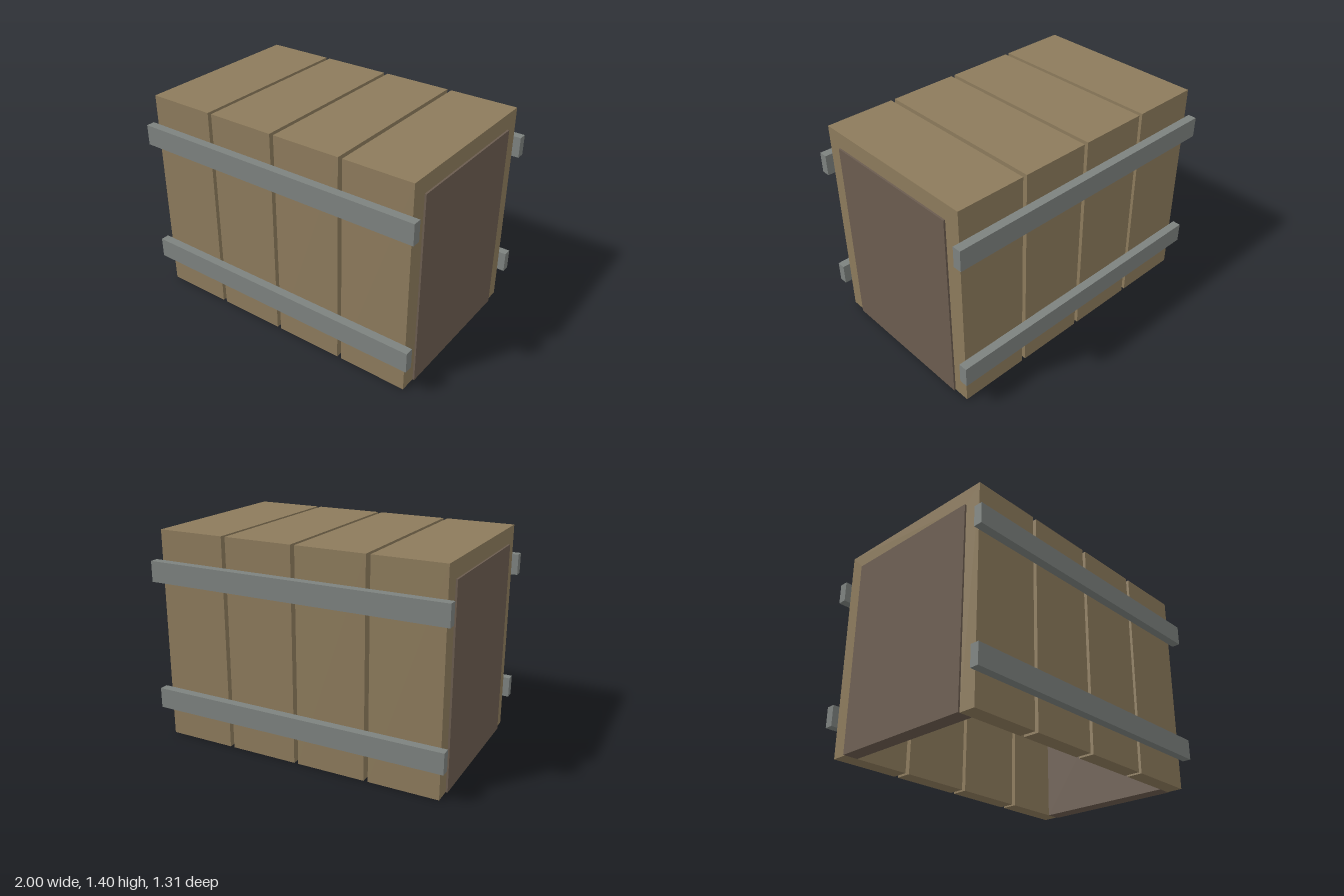
import * as THREE from 'three';

const wood = new THREE.MeshStandardMaterial({ color: 0x8d7b5c });
wood.name = 'plank wood';
const darkWood = new THREE.MeshStandardMaterial({ color: 0x6b5c4f });
darkWood.name = 'dark end wood';
const metal = new THREE.MeshStandardMaterial({ color: 0x7d827f });
metal.name = 'grey strap';

const HEIGHT = 1.4, HALF_DEPTH = 0.592, INNER_DEPTH = 0.485, INNER_HEIGHT = 1.292;
const PLANK_WIDTH = 0.457, PLANK_PITCH = 0.485, CENTRE_X = -0.003;

export function createModel() {
  const model = new THREE.Group();
  model.name = 'crate';

  const addBox = (name, size, position, material) => {
    const mesh = new THREE.Mesh(new THREE.BoxGeometry(...size), material);
    mesh.name = name;
    mesh.position.set(...position);
    model.add(mesh);
  };

  // Planks: arches open at the bottom, separated by narrow gaps
  const arch = new THREE.Shape([
    [-HALF_DEPTH, 0], [-INNER_DEPTH, 0], [-INNER_DEPTH, INNER_HEIGHT], [INNER_DEPTH, INNER_HEIGHT],
    [INNER_DEPTH, 0], [HALF_DEPTH, 0], [HALF_DEPTH, HEIGHT], [-HALF_DEPTH, HEIGHT],
  ].map(([x, y]) => new THREE.Vector2(x, y)));
  const plankGeometry = new THREE.ExtrudeGeometry(arch, { depth: PLANK_WIDTH, bevelEnabled: false });
  plankGeometry.translate(0, 0, -PLANK_WIDTH / 2).rotateY(Math.PI / 2);
  for (let i = 0; i < 4; i++) {
    const plank = new THREE.Mesh(plankGeometry, wood);
    plank.name = `plankArch${i + 1}`;
    plank.position.x = CENTRE_X + (i - 1.5) * PLANK_PITCH;
    model.add(plank);
  }

  for (const side of [-1, 1]) {
    // End panels fill the arches and stand slightly proud
    addBox(side > 0 ? 'leftEndPanel' : 'rightEndPanel', [0.1, INNER_HEIGHT, INNER_DEPTH * 2],
      [CENTRE_X + side * 0.918, INNER_HEIGHT / 2, 0], darkWood);

    // Straps across front and back
    for (const [level, y] of [['lower', 0.27], ['upper', 1.137]]) {
      addBox(`${level}${side > 0 ? 'Front' : 'Back'}Strap`, [2, 0.136, 0.057],
        [0, y, side * 0.6245], metal);
    }
  }
  return model;
}
